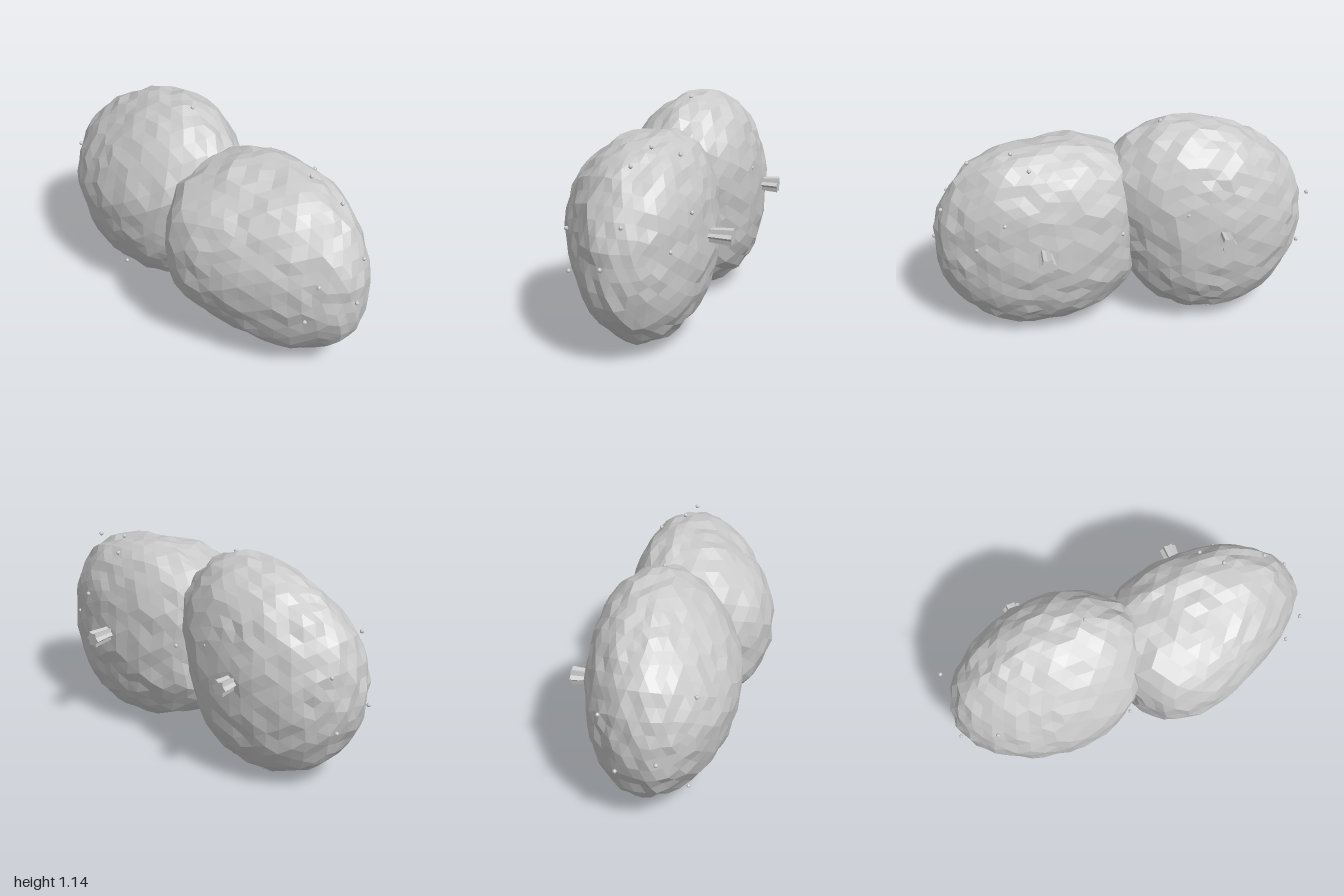
import * as THREE from 'three';

const grey = new THREE.MeshStandardMaterial({ color: 0xcacaca, flatShading: true });
grey.name = 'stone grey';

// Repeatable value in -1..1 for a direction, so shared corners move together
function hash(v, seed) {
  const k = Math.round(v.x * 500) * 12.9898 + Math.round(v.y * 500) * 78.233 + Math.round(v.z * 500) * 37.719;
  const s = Math.sin(k + seed) * 43758.5453;
  return (s - Math.floor(s)) * 2 - 1;
}

// Smooth periodic outline radius; radii are spaced evenly from the +x direction
function outline(radii, angle) {
  const n = radii.length;
  const t = ((angle / (2 * Math.PI) + 1) % 1) * n;
  const i = Math.floor(t), f = t - i;
  const [a, b, c, d] = [-1, 0, 1, 2].map(o => radii[(i + o + n) % n]);
  return b + 0.5 * f * (c - a + f * (2 * a - 5 * b + 4 * c - d + f * (3 * (b - c) + d - a)));
}

// Lumpy lobe: a faceted ball stretched to a front outline and to front/back depths.
// The lean thins one side, topTaper thins the upper front, drift moves the front peak.
function makeLobe({ name, centre, radii, front, back, frontLean, backLean, topTaper, drift, seed }) {
  const geo = new THREE.IcosahedronGeometry(1, 7);
  const pos = geo.attributes.position;
  const v = new THREE.Vector3();
  for (let i = 0; i < pos.count; i++) {
    v.fromBufferAttribute(pos, i).normalize();
    const r = outline(radii, Math.atan2(v.y, v.x));
    const isFront = v.z > 0;
    const top = Math.max(0, v.y);
    const depth = isFront
      ? front * (1 - frontLean * v.x) * (1 - topTaper * top * top)
      : back * (1 - backLean * v.x);
    const bump = 1 + 0.022 * hash(v, seed);
    const slide = isFront ? v.z * v.z : 0;
    pos.setXYZ(i,
      v.x * r * bump + drift[0] * slide,
      v.y * r * bump + drift[1] * slide,
      v.z * depth * bump - 0.055 * v.y * v.y);
  }
  geo.computeVertexNormals();
  const mesh = new THREE.Mesh(geo, grey);
  mesh.name = name;
  mesh.position.set(...centre);
  return mesh;
}

// Flared stem with ridges: every second corner is pulled inward
function makeStem(name, x, y) {
  const geo = new THREE.CylinderGeometry(0.034, 0.046, 0.165, 12);
  const pos = geo.attributes.position;
  for (let i = 0; i < pos.count; i++) {
    const step = Math.round(Math.atan2(pos.getZ(i), pos.getX(i)) / (Math.PI / 6));
    const k = step % 2 === 0 ? 1 : 0.68;
    pos.setX(i, pos.getX(i) * k);
    pos.setZ(i, pos.getZ(i) * k);
  }
  geo.computeVertexNormals();
  const stem = new THREE.Mesh(geo, grey);
  stem.name = name;
  stem.rotation.x = Math.PI / 2;
  stem.position.set(x, y, -0.3825);
  return stem;
}

export function createModel() {
  const group = new THREE.Group();
  group.name = 'twinLobes';

  group.add(makeLobe({
    name: 'rightLobe', centre: [-0.48, 0.58, 0], seed: 3,
    radii: [0.535, 0.63, 0.615, 0.54, 0.5, 0.5, 0.51, 0.53, 0.55, 0.56, 0.555, 0.53],
    front: 0.385, back: 0.385, frontLean: -0.12, backLean: -0.06, topTaper: 0.25, drift: [0, 0],
  }));
  group.add(makeLobe({
    name: 'leftLobe', centre: [0.45, 0.54, 0], seed: 11,
    radii: [0.535, 0.53, 0.52, 0.505, 0.57, 0.63, 0.57, 0.585, 0.53, 0.505, 0.54, 0.545],
    front: 0.44, back: 0.35, frontLean: 0.33, backLean: 0.1, topTaper: 0.12, drift: [-0.07, 0.05],
  }));

  group.add(makeStem('rightStem', -0.49, 0.605), makeStem('leftStem', 0.435, 0.575));

  // Small beads scattered over the surface
  const beads = new THREE.Group();
  beads.name = 'beads';
  const beadGeo = new THREE.SphereGeometry(0.011, 8, 6);
  const spots = [
    [-0.21, 1.13, -0.04], [-0.97, 0.73, -0.2], [-0.99, 0.49, 0.08], [-0.81, 0.78, 0.24],
    [-0.57, 0.05, 0.155], [-0.48, 0.012, -0.105], [-0.09, 0.31, 0.25], [-0.3, 0.74, -0.36],
    [-0.96, 0.4, -0.13], [0.02, 0.6, -0.25], [0.57, 1.03, -0.09], [0.79, 0.985, -0.065],
    [0.9, 0.69, 0.22], [0.985, 0.53, 0.02], [0.84, 0.455, 0.24], [0.51, 0.02, -0.065],
    [0.94, 0.73, -0.07], [0.63, 0.74, -0.315], [0.775, 0.58, -0.255], [0.49, 0.985, -0.21],
  ];
  for (const spot of spots) {
    const bead = new THREE.Mesh(beadGeo, grey);
    bead.name = 'bead';
    bead.position.set(...spot);
    beads.add(bead);
  }
  group.add(beads);
  return group;
}
